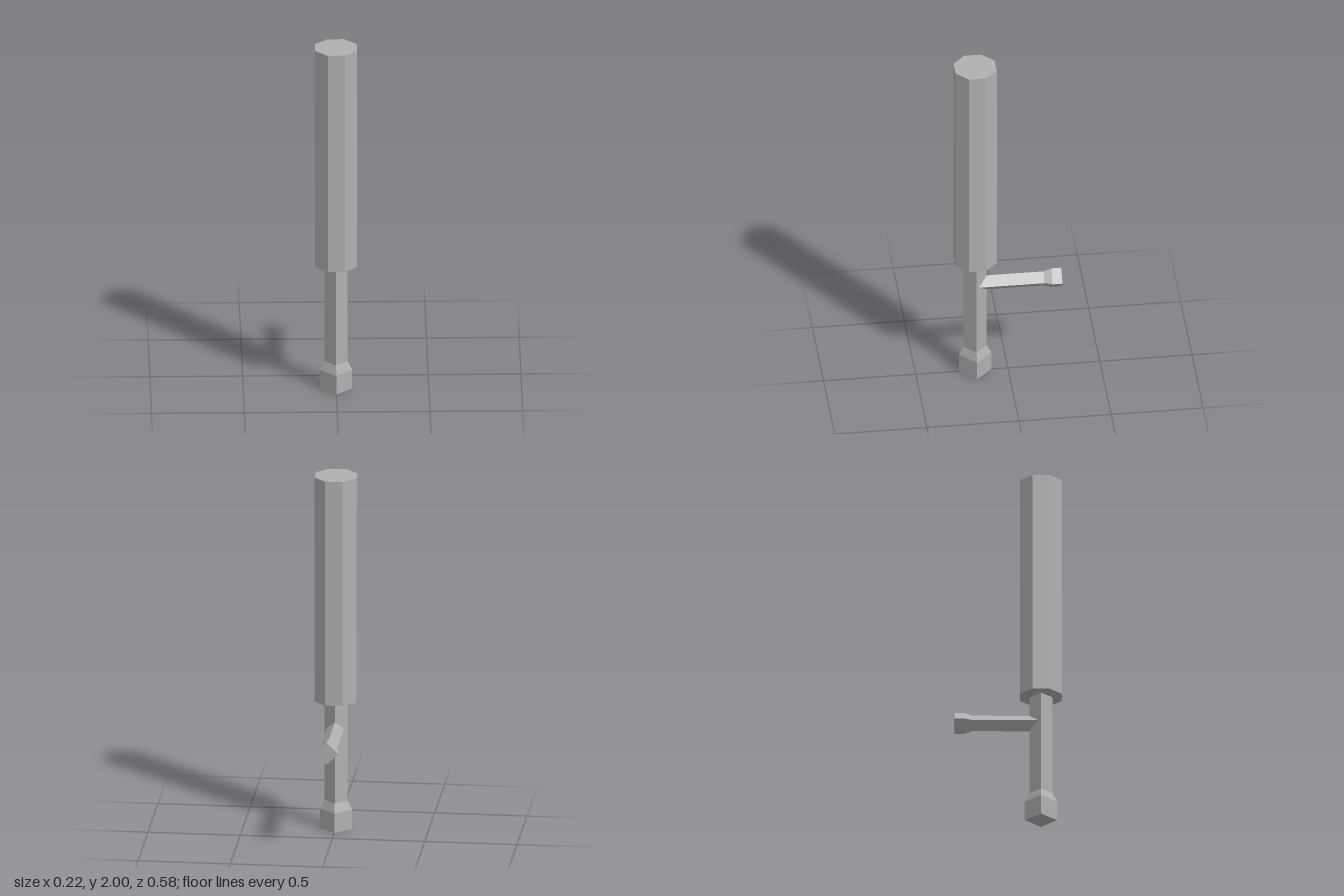
import * as THREE from 'three';

const CENTRE_Z = 0.177;

export function createModel() {
  const grey = new THREE.MeshStandardMaterial({ color: 0xb0b0b0 });
  grey.name = 'grey';
  grey.flatShading = true;

  const model = new THREE.Group();
  model.name = 'sideHandleBaton';

  // Faceted bar turned from [radius, height] pairs, bottom to top
  function bar(name, sides, profile) {
    const points = profile.map(([r, y]) => new THREE.Vector2(r, y));
    const mesh = new THREE.Mesh(new THREE.LatheGeometry(points, sides), grey);
    mesh.name = name;
    model.add(mesh);
    return mesh;
  }

  // Thick octagonal striking end, flats facing the axes
  const barrel = bar('barrel', 8, [[0, 0.73], [0.1215, 0.73], [0.1215, 2], [0, 2]]);
  barrel.geometry.rotateY(Math.PI / 8);
  barrel.position.z = CENTRE_Z;

  // Diamond-section shaft with a flared pommel
  const shaft = bar('shaft', 4, [[0, 0], [0.0875, 0], [0.0875, 0.11], [0.0625, 0.16], [0.0625, 0.73]]);
  shaft.position.z = CENTRE_Z;

  // Side handle pointing backwards, with a flared knob
  const handle = bar('sideHandle', 4, [[0.046, 0], [0.046, 0.372], [0.062, 0.413], [0.062, 0.467], [0, 0.467]]);
  handle.rotation.x = -Math.PI / 2;
  handle.position.set(0, 0.574, CENTRE_Z);

  return model;
}
